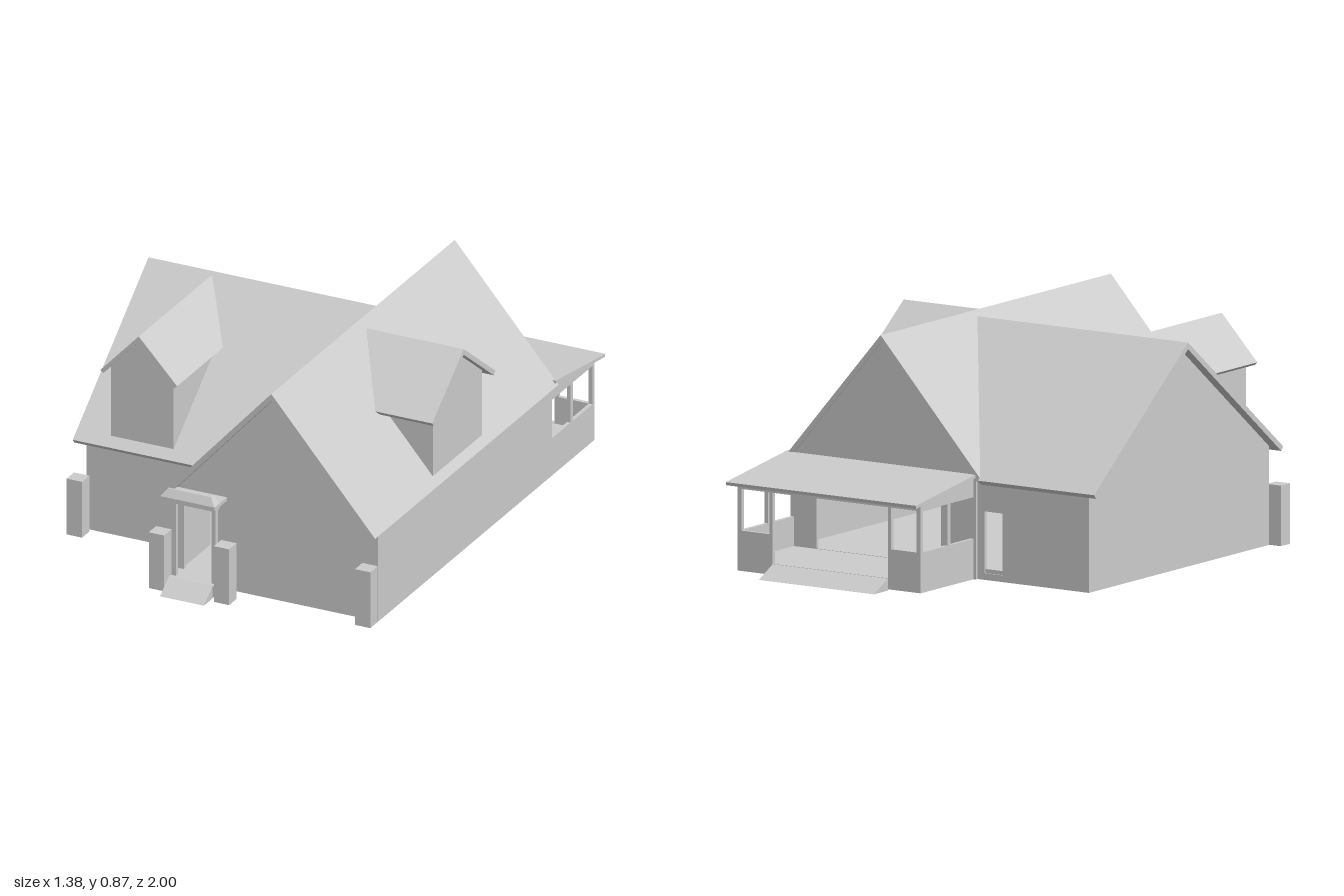
import * as THREE from 'three';

export function createModel() {
  const house = new THREE.Group();
  house.name = 'house';
  const plaster = new THREE.MeshStandardMaterial({ color: 0xcccccc });
  plaster.name = 'pale grey';

  const add = (name, geometry, parent = house) => {
    const mesh = new THREE.Mesh(geometry, plaster);
    mesh.name = name;
    parent.add(mesh);
    return mesh;
  };
  // box given by its limits on each axis
  const box = (name, x0, x1, y0, y1, z0, z1) => {
    const g = new THREE.BoxGeometry(x1 - x0, y1 - y0, z1 - z0);
    return add(name, g.translate((x0 + x1) / 2, (y0 + y1) / 2, (z0 + z1) / 2));
  };
  const outline = (points, holes = []) => {
    const shape = new THREE.Shape(points.map(p => new THREE.Vector2(...p)));
    for (const [u0, u1, v0, v1] of holes) {
      shape.holes.push(new THREE.Path([[u0, v0], [u0, v1], [u1, v1], [u1, v0]].map(p => new THREE.Vector2(...p))));
    }
    return shape;
  };
  const extrude = (shape, depth) => new THREE.ExtrudeGeometry(shape, { depth, bevelEnabled: false });
  // (x, y) outline pulled along z
  const alongZ = (name, points, z0, z1, holes, parent) =>
    add(name, extrude(outline(points, holes), z1 - z0).translate(0, 0, z0), parent);
  // (z, y) outline pulled along x
  const alongX = (name, points, x0, x1, holes, parent) =>
    add(name, extrude(outline(points, holes), x1 - x0).rotateY(-Math.PI / 2).translate(x1, 0, 0), parent);
  // roof sheet: plan outline in (x, z) lifted to a height rule, eave cut square to the slope
  const roofSheet = (name, plan, height, t, parent) => {
    const g = extrude(outline(plan.map(([x, z]) => [x, -z])), t).rotateX(-Math.PI / 2);
    const p = g.attributes.position;
    const low = Math.min(...plan.map(([x, z]) => height(x, z)));
    const [cx, cz] = [0, 1].map(k => plan.reduce((sum, q) => sum + q[k], 0) / plan.length);
    const e = 0.001;
    const gx = (height(cx + e, cz) - height(cx - e, cz)) / (2 * e);
    const gz = (height(cx, cz + e) - height(cx, cz - e)) / (2 * e);
    const inset = t / (1 + gx * gx + gz * gz);
    for (let i = 0; i < p.count; i++) {
      let x = p.getX(i), z = p.getZ(i);
      const bottom = p.getY(i) < t / 2;
      if (bottom && height(x, z) < low + 0.0005) {
        x += gx * inset;
        z += gz * inset;
      }
      p.setXYZ(i, x, height(x, z) - (bottom ? t : 0), z);
    }
    g.computeVertexNormals();
    return add(name, g, parent);
  };

  // main block, hollow, with gables facing front and back
  const mainRoof = x => 0.87 - (x > 0.265 ? 1.165 : 1.105) * Math.abs(x - 0.265);
  const under = 0.028;
  const mainGable = [
    [-0.155, 0.005], [0.665, 0.005], [0.665, mainRoof(0.665) - under],
    [0.265, 0.87 - under], [-0.155, mainRoof(-0.155) - under]];
  alongZ('mainFrontWall', mainGable, 0.833, 0.845, [[-0.13, 0.01, 0.05, 0.345]]);
  alongZ('mainBackWall', mainGable, -0.567, -0.555, [[0, 0.55, 0.046, 0.3]]);
  box('mainRightWall', 0.653, 0.665, 0.005, mainRoof(0.665) - under, -0.56, 0.84);
  box('mainLeftWall', -0.155, -0.143, 0.005, mainRoof(-0.155) - under, 0.605, 0.84);
  box('mainFloor', 0, 0.66, 0.028, 0.045, -0.56, 0.84);
  for (const eave of [-0.18, 0.69]) {
    roofSheet('mainRoof', [[eave, -0.57], [0.265, -0.57], [0.265, 0.92], [eave, 0.92]], mainRoof, 0.029);
  }

  // side wing with its gable facing -x
  const wingRoof = (x, z) => 0.85 - 0.78 * Math.abs(z - 0.03);
  const wingTop = z => wingRoof(0, z) - 0.024;
  alongX('wingGableWall', [
    [-0.555, 0.005], [0.61, 0.005], [0.61, wingTop(0.61)], [0.03, wingTop(0.03)], [-0.555, wingTop(-0.555)]], -0.647, -0.635);
  box('wingFrontWall', -0.64, -0.145, 0.005, wingTop(0.61), 0.598, 0.61);
  alongZ('wingBackWall', [[-0.64, 0.005], [-0.145, 0.005], [-0.145, wingTop(-0.555)], [-0.64, wingTop(-0.555)]],
    -0.555, -0.543, [[-0.265, -0.185, 0.03, 0.26]]);
  box('wingFloor', -0.64, -0.15, 0.006, 0.045, -0.55, 0.605);
  box('hallFloor', -0.15, 0, 0.006, 0.045, -0.56, 0.84);
  for (const eave of [-0.578, 0.645]) {
    roofSheet('wingRoof', [[-0.686, eave], [-0.175, eave], [0.25, 0.03], [-0.686, 0.03]], wingRoof, 0.025);
  }

  // dormers, built facing +z and turned into place
  const dormer = (name, o) => {
    const g = new THREE.Group();
    g.name = name;
    const height = x => 0.84 - o.slope * Math.abs(x);
    const top = height(o.wall) - 0.019;
    alongZ('dormerWalls', [[-o.wall, o.base], [o.wall, o.base], [o.wall, top], [0, 0.821], [-o.wall, top]],
      o.back + 0.04, o.face, [], g);
    for (const s of [-1, 1]) {
      roofSheet('dormerRoof', [[0, o.back], [s * o.eave, o.valley], [s * o.eave, o.front], [0, o.front]], height, 0.023, g);
    }
    house.add(g);
    return g;
  };
  dormer('frontDormer', { wall: 0.128, eave: 0.157, slope: 1.07, base: 0.393, face: 0.607, front: 0.637, back: 0.04, valley: 0.265 })
    .position.x = -0.42;
  const sideDormer = dormer('sideDormer', { wall: 0.2, eave: 0.256, slope: 0.755, base: 0.4, face: 0.664, front: 0.69, back: 0.287, valley: 0.455 });
  sideDormer.rotation.y = Math.PI / 2;
  sideDormer.position.z = 0.2;

  // short corner pillars
  for (const [x, z] of [[-0.692, 0.622], [-0.216, 0.9], [0.05, 0.9], [0.6, 0.845]]) {
    box('pillar', x, x + 0.063, 0.003, 0.228, z, z + 0.06);
  }

  // front entrance: platform, ramp, posts, inner door and canopy
  box('entrancePlatform', -0.15, 0.035, 0.004, 0.05, 0.845, 0.93);
  alongX('entranceRamp', [[0.93, 0], [1, 0], [0.93, 0.05]], -0.15, 0.03);
  for (const x of [-0.148, 0.015]) {
    box('entrancePost', x, x + 0.018, 0.05, 0.35, 0.893, 0.911);
  }
  box('hallWall', -0.15, 0.03, 0.045, 0.36, 0.4, 0.41);
  box('hallDoor', -0.115, -0.025, 0.055, 0.305, 0.41, 0.418);
  box('hallDoorTopRail', -0.115, -0.025, 0.287, 0.305, 0.418, 0.422);
  box('canopyBeam', -0.152, 0.036, 0.345, 0.362, 0.885, 0.92);
  box('canopyEdge', -0.176, 0.046, 0.362, 0.376, 0.845, 0.945);
  const canopy = new THREE.BoxGeometry(0.22, 0.029, 0.04).toNonIndexed();
  const cp = canopy.attributes.position;
  for (let i = 0; i < cp.count; i++) {
    if (cp.getY(i) > 0) {
      cp.setX(i, cp.getX(i) * 0.8);
      if (cp.getZ(i) > 0) cp.setZ(i, 0.002);
    }
  }
  canopy.computeVertexNormals();
  add('canopyRoof', canopy.translate(-0.066, 0.3905, 0.924));

  // open back porch with window gaps
  const porchRoof = (x, z) => 0.397 + 0.145 * (z + 0.55);
  const t = 0.012;
  box('porchFloor', -0.14, 0.66, 0.006, 0.045, -0.905, -0.56);
  const sideOutline = [[-0.91, 0.005], [-0.555, 0.005], [-0.555, porchRoof(0, -0.555) - t], [-0.91, porchRoof(0, -0.91) - t]];
  const sideGaps = [[-0.895, -0.735, 0.155, 0.31], [-0.717, -0.567, 0.155, 0.31]];
  for (const x of [-0.145, 0.65]) alongX('porchSide', sideOutline, x, x + 0.015, sideGaps);
  const beamTop = porchRoof(0, -0.91) - t;
  alongZ('porchBack', [[-0.145, 0.005], [0.665, 0.005], [0.665, beamTop], [-0.145, beamTop]], -0.91, -0.895,
    [[-0.128, -0.015, 0.155, 0.31], [0, 0.51, 0.046, 0.31], [0.525, 0.648, 0.155, 0.31]]);
  roofSheet('porchRoof', [[-0.155, -0.955], [0.687, -0.955], [0.687, -0.555], [-0.155, -0.555]], porchRoof, t);
  alongX('porchRamp', [[-0.91, 0], [-0.91, 0.045], [-1, 0]], 0, 0.51);

  return house;
}
